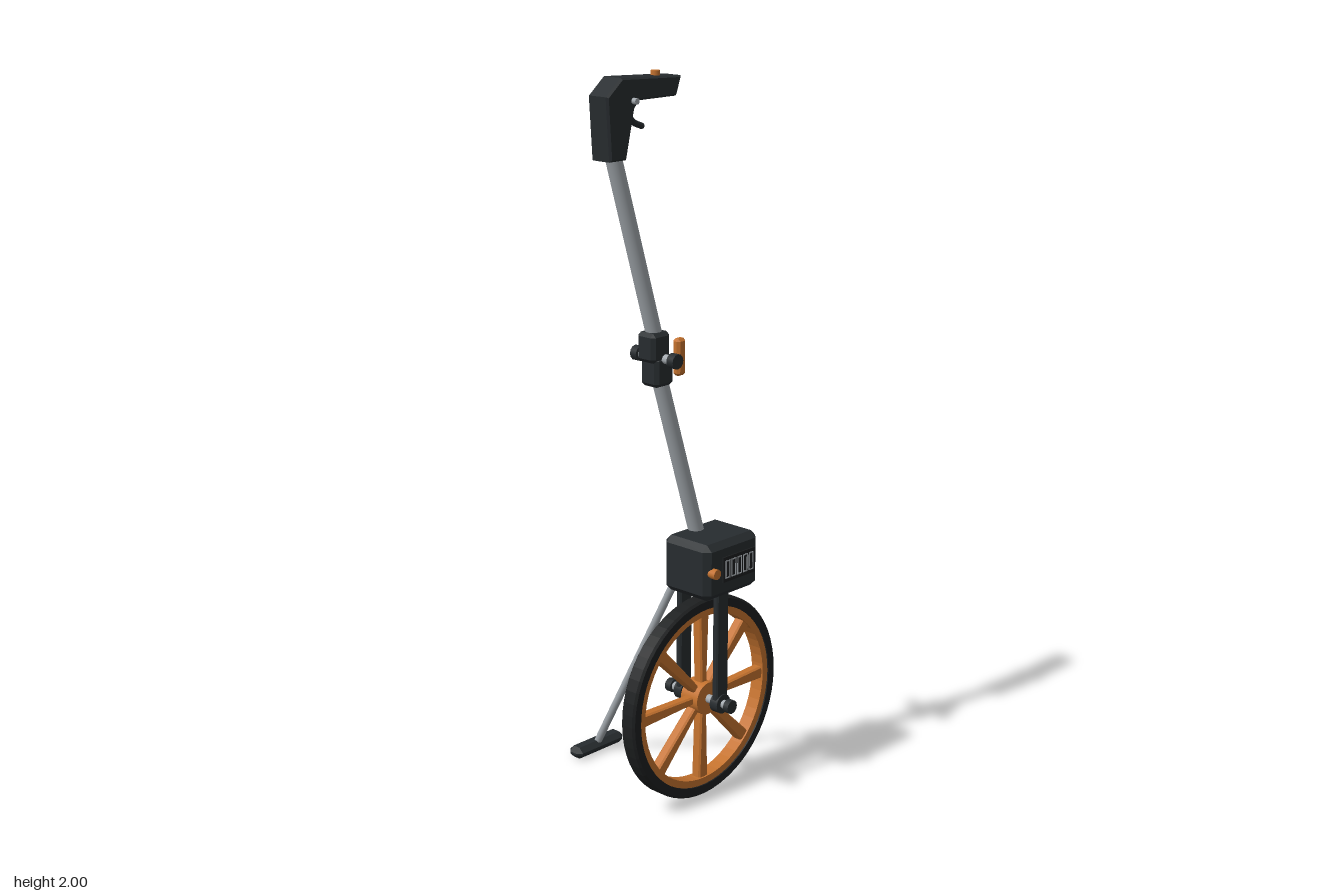
import * as THREE from 'three';
import { ConvexGeometry } from 'three/addons/geometries/ConvexGeometry.js';

const mat = (color, flatShading = false) => {
  const m = new THREE.MeshStandardMaterial({ flatShading });
  m.color.set(color);
  return m;
};
const dark = mat(0x272c2f), black = mat(0x1d1f20, true);
const orange = mat(0xc4722e), orangeFlat = mat(0xc4722e, true), steel = mat(0xa2a8ad);
const V = (x, y, z) => new THREE.Vector3(x, y, z);

// Box with all edges cut at 45 degrees
function chamferBox(w, h, d, c) {
  const pts = [];
  for (const x of [-1, 1]) for (const y of [-1, 1]) for (const z of [-1, 1]) {
    const a = w / 2, b = h / 2, e = d / 2;
    pts.push(V(x * a, y * (b - c), z * (e - c)), V(x * (a - c), y * b, z * (e - c)), V(x * (a - c), y * (b - c), z * e));
  }
  return new ConvexGeometry(pts);
}

// Ring or disc profile [radius, z] turned about the z axis
const turned = (profile, segments) =>
  new THREE.LatheGeometry(profile.map(p => new THREE.Vector2(p[0], p[1])), segments).rotateX(Math.PI / 2);

export function createModel() {
  const model = new THREE.Group();
  model.name = 'measuringWheel';

  const add = (name, geometry, material, x = 0, y = 0, z = 0, parent = model) => {
    const mesh = new THREE.Mesh(geometry, material);
    mesh.name = name;
    mesh.position.set(x, y, z);
    parent.add(mesh);
    return mesh;
  };
  // Round bar between two points
  const rod = (name, a, b, r, material, segments = 20) => {
    const mid = a.clone().add(b).multiplyScalar(0.5);
    const mesh = add(name, new THREE.CylinderGeometry(r, r, a.distanceTo(b), segments), material, mid.x, mid.y, mid.z);
    mesh.quaternion.setFromUnitVectors(V(0, 1, 0), b.clone().sub(a).normalize());
    return mesh;
  };
  // Round bar along z
  const pin = (name, x, y, z0, z1, r, material, segments) => rod(name, V(x, y, z0), V(x, y, z1), r, material, segments);

  // Wheel
  const cx = 0.038, cy = 0.291;
  const wheel = new THREE.Group();
  wheel.name = 'wheel';
  wheel.position.set(cx, cy, 0.15);
  model.add(wheel);
  add('tyre', turned([[0.258, -0.024], [0.281, -0.024], [0.287, -0.018], [0.287, 0.018], [0.281, 0.024], [0.258, 0.024], [0.258, -0.024]], 56), black, 0, 0, 0, wheel);
  add('rim', turned([[0.238, -0.02], [0.262, -0.02], [0.262, 0.02], [0.238, 0.02], [0.238, -0.02]], 56), orangeFlat, 0, 0, 0, wheel);
  add('hub', new THREE.CylinderGeometry(0.046, 0.046, 0.06, 24).rotateX(Math.PI / 2), orange, 0, 0, 0, wheel);
  for (let i = 0; i < 8; i++) {
    const outline = new THREE.Shape([[-0.011, 0.035], [0.011, 0.035], [0.018, 0.245], [-0.018, 0.245]].map(p => new THREE.Vector2(...p)));
    const spoke = new THREE.ExtrudeGeometry(outline, { depth: 0.02, bevelThickness: 0.005, bevelSize: 0.004, bevelOffset: -0.004, bevelSegments: 1 });
    add('spoke', spoke.translate(0, 0, -0.01), orangeFlat, 0, 0, 0, wheel).rotation.z = i * Math.PI / 4;
  }

  // Axle, end nuts and fork
  pin('axle', cx, cy, 0.045, 0.262, 0.012, steel);
  pin('axleNut', cx, cy, 0.25, 0.267, 0.019, dark, 12);
  pin('axleNut', cx, cy, 0.034, 0.054, 0.019, dark, 12);
  for (const [z, top] of [[0.222, 0.63], [0.088, 0.62]]) {
    add('forkLeg', chamferBox(0.046, top - cy, 0.019, 0.004), dark, cx, (top + cy) / 2, z);
    pin('forkEnd', cx, cy, z - 0.013, z + 0.013, 0.027, dark, 24);
  }

  // Counter housing with display
  add('counterHousing', chamferBox(0.208, 0.155, 0.163, 0.017), dark, cx + 0.001, 0.693, 0.184);
  add('displayPanel', new THREE.BoxGeometry(0.127, 0.07, 0.008), black, 0.058, 0.695, 0.265);
  for (let i = 0; i < 5; i++) {
    const frame = new THREE.Shape([[-0.009, -0.025], [0.009, -0.025], [0.009, 0.025], [-0.009, 0.025]].map(p => new THREE.Vector2(...p)));
    frame.holes.push(new THREE.Path([[-0.006, -0.022], [-0.006, 0.022], [0.006, 0.022], [0.006, -0.022]].map(p => new THREE.Vector2(...p))));
    add('counterWindow', new THREE.ExtrudeGeometry(frame, { depth: 0.0015, bevelEnabled: false }), steel, 0.012 + i * 0.023, 0.695, 0.269);
  }
  pin('resetButton', -0.042, 0.695, 0.255, 0.281, 0.014, orange, 12);

  // Kick stand
  add('standBracket', chamferBox(0.047, 0.068, 0.046, 0.008), dark, cx, 0.628, 0.087);
  rod('standPin', V(0.014, 0.64, 0.083), V(0.063, 0.64, 0.083), 0.01, dark, 12);
  rod('standLeg', V(cx, 0.645, 0.078), V(cx, 0.018, -0.256), 0.011, steel, 16);
  add('standFoot', chamferBox(0.188, 0.034, 0.052, 0.014), dark, 0.039, 0.017, -0.258);

  // Folding pole and hinge
  const pz = 0.135;
  rod('lowerPole', V(0.038, 0.752, pz), V(-0.113, 1.222, pz), 0.021, steel, 24);
  rod('upperPole', V(-0.126, 1.32, pz), V(-0.282, 1.825, pz), 0.021, steel, 24);
  add('hingeUpper', chamferBox(0.068, 0.078, 0.062, 0.01), dark, -0.132, 1.303, pz);
  add('hingeLower', chamferBox(0.068, 0.08, 0.062, 0.01), dark, -0.119, 1.238, pz);
  pin('hingePin', -0.121, 1.272, 0.062, 0.206, 0.0125, steel);
  pin('hingeKnob', -0.121, 1.272, 0.059, 0.08, 0.02, dark, 12);
  pin('hingeKnob', -0.121, 1.272, 0.188, 0.21, 0.02, dark, 12);
  add('lockLever', chamferBox(0.032, 0.098, 0.024, 0.007), orangeFlat, -0.083, 1.274, 0.179);

  // Pistol grip handle
  const grip = new THREE.Shape([[-0.317, 1.795], [-0.26, 1.795], [-0.232, 1.915], [-0.215, 1.936], [-0.083, 1.936],
    [-0.066, 1.985], [-0.277, 1.995], [-0.328, 1.953]].map(p => new THREE.Vector2(...p)));
  add('handle', new THREE.ExtrudeGeometry(grip, {
    depth: 0.056, bevelThickness: 0.006, bevelSize: 0.005, bevelOffset: -0.005, bevelSegments: 1,
  }), dark, 0, 0, pz - 0.028);
  rod('handleButton', V(-0.127, 1.975, pz), V(-0.127, 2.0, pz), 0.012, orange, 16);
  pin('triggerPin', -0.238, 1.937, 0.087, 0.182, 0.008, steel, 12);
  const path = new THREE.CatmullRomCurve3([V(-0.238, 1.937, pz), V(-0.226, 1.905, pz), V(-0.205, 1.88, pz), V(-0.176, 1.868, pz)]);
  add('trigger', new THREE.TubeGeometry(path, 16, 0.008, 10), dark);
  add('triggerTip', new THREE.SphereGeometry(0.008, 10, 8), dark, -0.176, 1.868, pz);

  return model;
}
